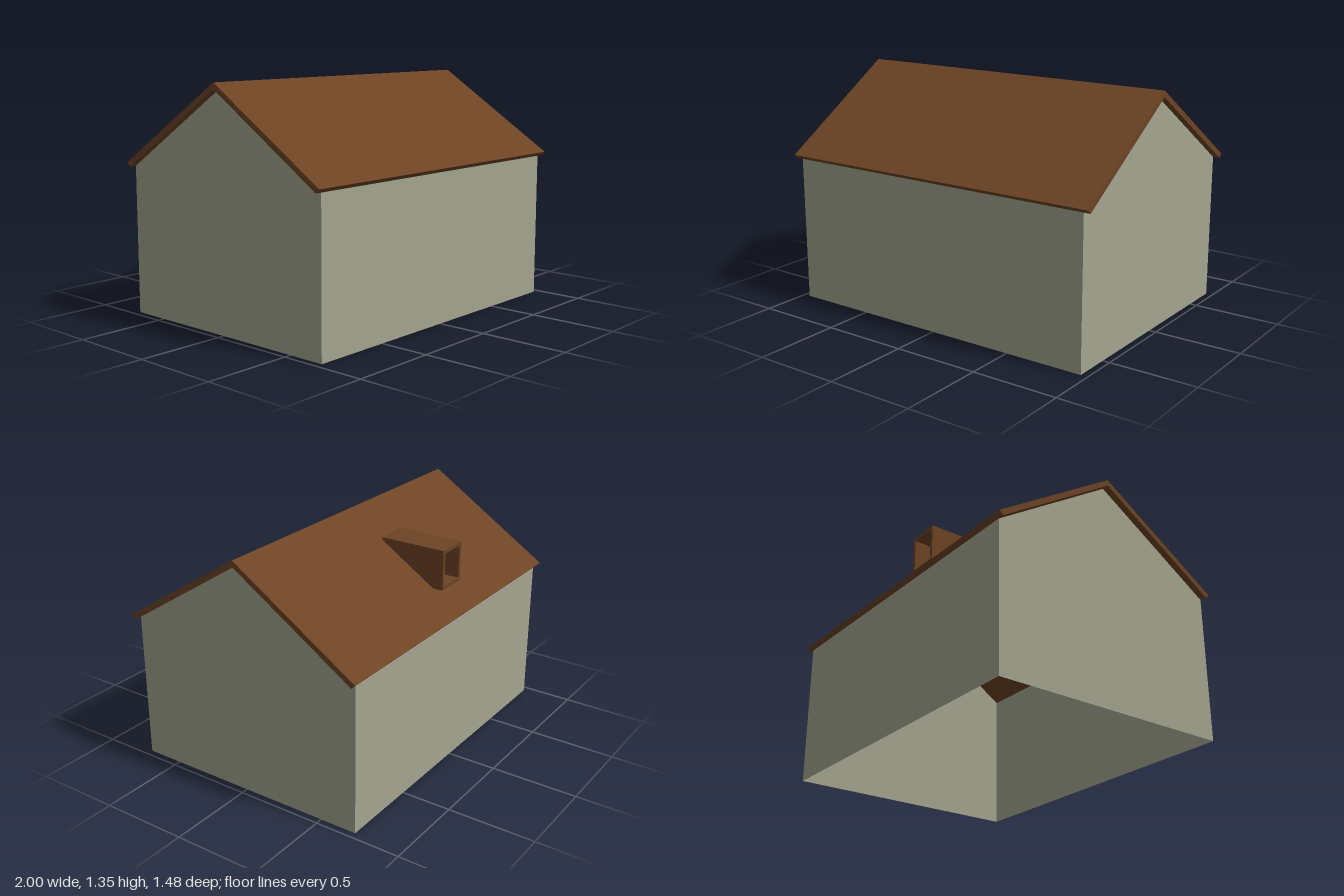
import * as THREE from 'three';

const wallMat = new THREE.MeshStandardMaterial({ color: 0xa3a48f, side: THREE.DoubleSide });
wallMat.name = 'wallStone';
const roofMat = new THREE.MeshStandardMaterial({ color: 0x6d4424 });
roofMat.name = 'roofBrown';

const polygon = (points) => new THREE.Shape(points.map(([a, b]) => new THREE.Vector2(a, b)));

function addMesh(group, name, geometry, material) {
  const mesh = new THREE.Mesh(geometry, material);
  mesh.name = name;
  group.add(mesh);
  return mesh;
}

export function createModel() {
  const house = new THREE.Group();
  house.name = 'house';

  const halfX = 0.96, halfZ = 0.715, eave = 0.85, peak = 1.31;

  // Thin walls, open underneath
  const gable = polygon([[-halfZ, 0], [halfZ, 0], [halfZ, eave], [0, peak], [-halfZ, eave]]);
  for (const side of [1, -1]) {
    const end = addMesh(house, side > 0 ? 'leftGableWall' : 'rightGableWall', new THREE.ShapeGeometry(gable), wallMat);
    end.rotation.y = side * Math.PI / 2;
    end.position.x = side * halfX;

    const long = addMesh(house, side > 0 ? 'frontWall' : 'backWall', new THREE.PlaneGeometry(halfX * 2, eave), wallMat);
    long.rotation.y = side > 0 ? 0 : Math.PI;
    long.position.set(0, eave / 2, side * halfZ);
  }

  // Pitched roof slab, folded at the ridge and cut square at the eaves
  const roofProfile = polygon([
    [0, 1.345], [-0.74, 0.87], [-0.717, 0.848], [0, peak], [0.717, 0.848], [0.74, 0.87],
  ]);
  const roofGeo = new THREE.ExtrudeGeometry(roofProfile, { depth: 2, bevelEnabled: false });
  roofGeo.translate(0, 0, -1).rotateY(Math.PI / 2);
  addMesh(house, 'roof', roofGeo, roofMat);

  // Hollow dormer box on the back slope, open at its end
  const x0 = -0.212, x1 = -0.018, y0 = 0.987, y1 = 1.217, t = 0.02;
  const frame = polygon([[x0, y0], [x1, y0], [x1, y1], [x0, y1]]);
  frame.holes.push(polygon([[x0 + t, y0 + t], [x0 + t, y1 - t], [x1 - t, y1 - t], [x1 - t, y0 + t]]));
  const dormerGeo = new THREE.ExtrudeGeometry(frame, { depth: 0.395, bevelEnabled: false });
  dormerGeo.translate(0, 0, -0.617);
  addMesh(house, 'dormer', dormerGeo, roofMat);

  return house;
}
